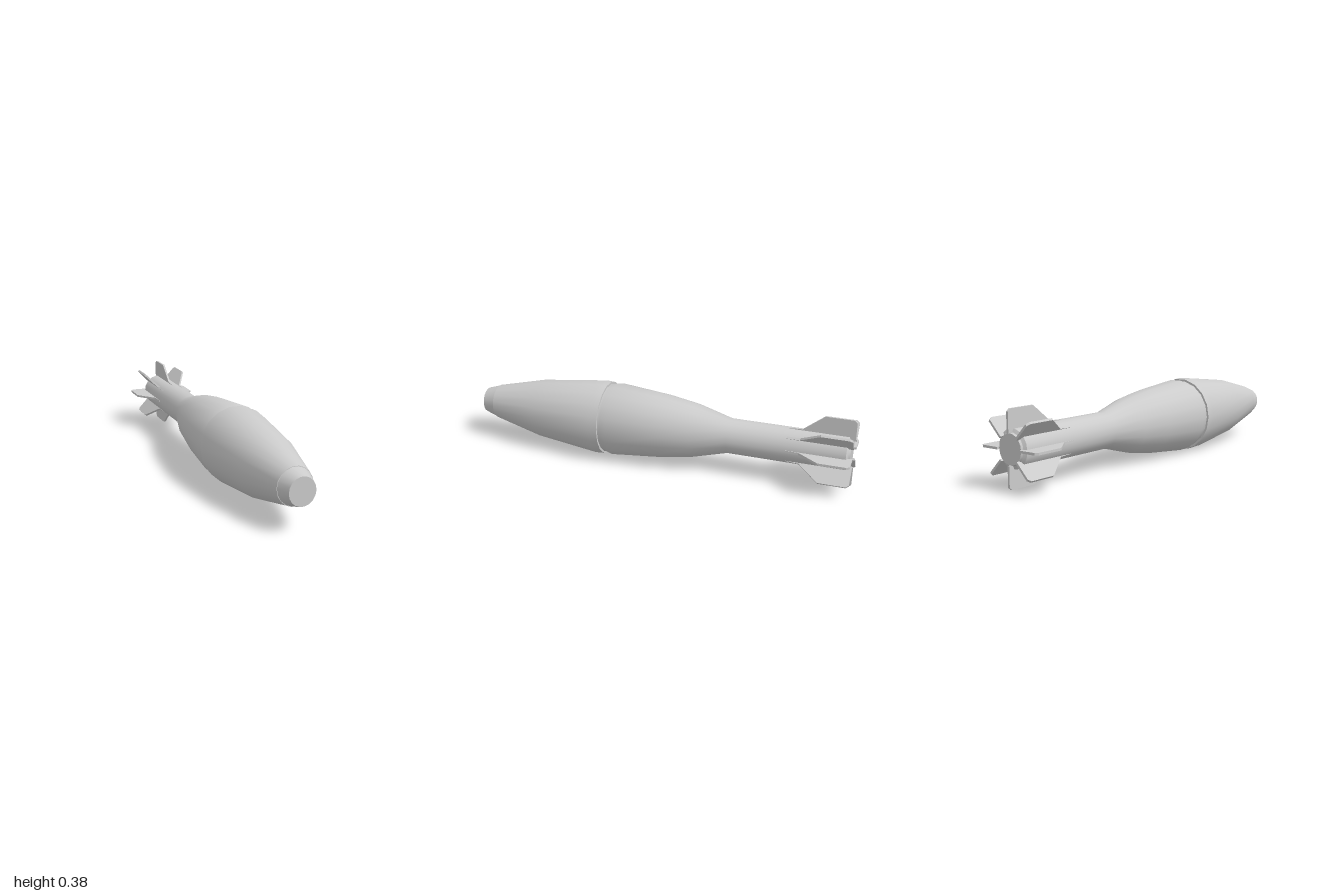
import * as THREE from 'three';
import { toCreasedNormals } from 'three/addons/utils/BufferGeometryUtils.js';

const SIDES = 18;

export function createModel() {
  const model = new THREE.Group();
  model.name = 'finnedShell';
  const material = new THREE.MeshStandardMaterial({ color: 0xcccccc });

  // The cross-section is slightly narrower than it is tall
  const shell = new THREE.Group();
  shell.name = 'shell';
  shell.position.y = 0.192;
  shell.scale.x = 0.949;
  model.add(shell);

  const add = (name, geometry) => {
    const mesh = new THREE.Mesh(geometry, material);
    mesh.name = name;
    shell.add(mesh);
    return mesh;
  };

  // Turned part along z; the profile lists [radius, z] from back to front
  const turned = (name, profile) => {
    const points = profile.map(([r, z]) => new THREE.Vector2(r, z));
    const geometry = new THREE.LatheGeometry(points, SIDES, Math.PI / 2);
    geometry.rotateX(Math.PI / 2);
    return add(name, toCreasedNormals(geometry, 0.6));
  };

  // Tail tube with bevelled end, swelling into the rear body and its groove
  turned('rearBody', [
    [0, -0.988], [0.07, -0.988], [0.074, -0.978], [0.09, -0.97],
    [0.09, -0.38], [0.139, -0.2], [0.165, -0.04],
    [0.191, 0.23], [0.181, 0.265], [0.181, 0.285],
  ]);

  // Front body with the raised band at its back edge
  turned('frontBody', [
    [0.175, 0.276], [0.192, 0.276], [0.195, 0.32],
    [0.155, 0.66], [0.091, 0.93], [0.08, 0.93],
  ]);

  // Blunt nose
  turned('nose', [[0.085, 0.925], [0.0885, 0.93], [0.067, 1], [0, 1]]);

  // Eight tail fins, outlined as [radius, z]
  const outline = [
    [0.07, -1], [0.165, -1], [0.177, -0.985], [0.177, -0.85],
    [0.094, -0.745], [0.091, -0.68], [0.07, -0.68],
  ];
  const thickness = 0.011;
  const finGeometry = new THREE.ExtrudeGeometry(
    new THREE.Shape(outline.map(([r, z]) => new THREE.Vector2(r, z))),
    { depth: thickness, bevelEnabled: false },
  );
  finGeometry.translate(0, 0, -thickness / 2);
  finGeometry.rotateX(Math.PI / 2);
  for (let i = 0; i < 8; i++) {
    add('tailFin' + (i + 1), finGeometry).rotation.z = (i * Math.PI) / 4;
  }

  return model;
}
